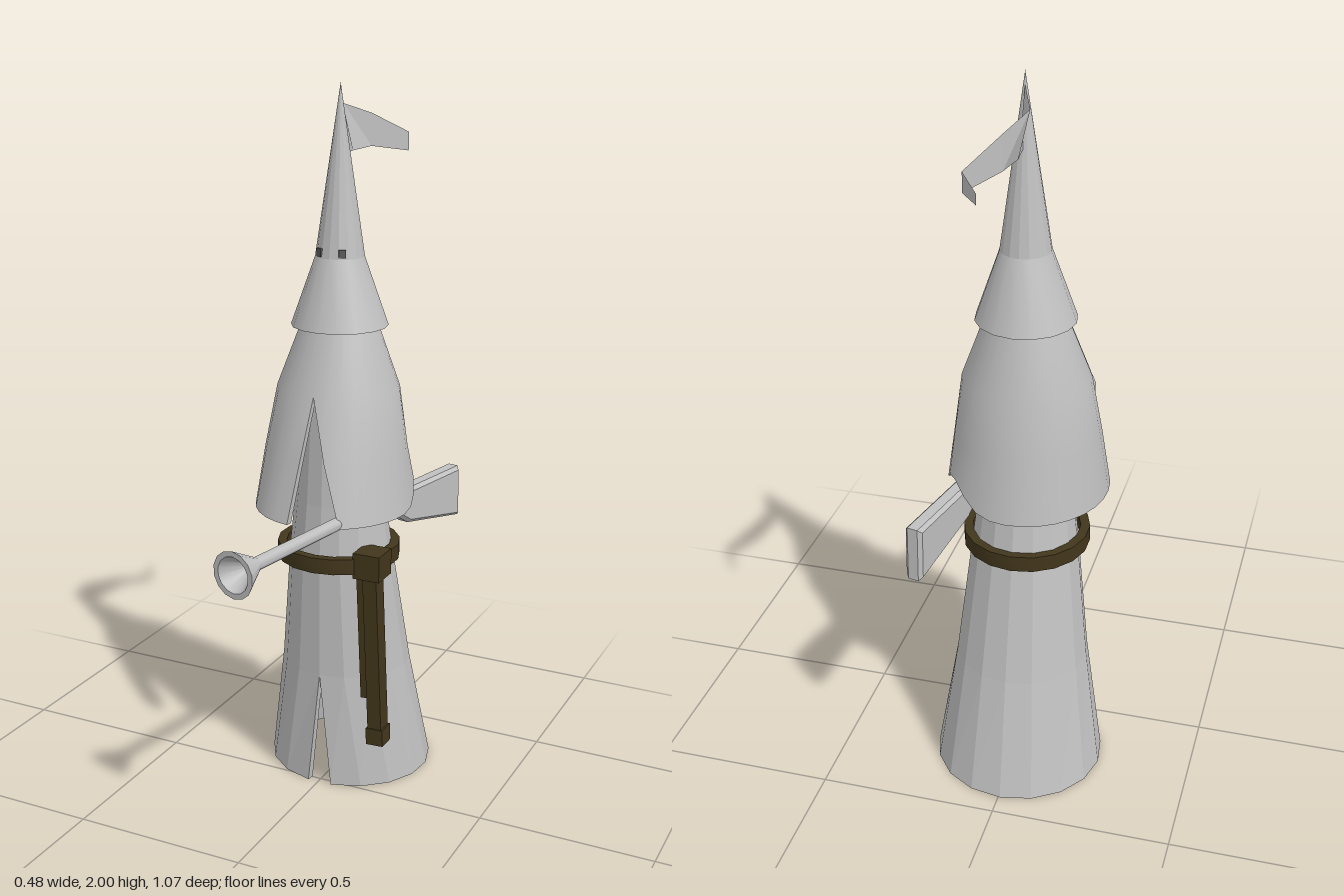
import * as THREE from 'three';
import { toCreasedNormals } from 'three/addons/utils/BufferGeometryUtils.js';

const mat = (name, color, extra = {}) => {
  const m = new THREE.MeshStandardMaterial({ color, ...extra });
  m.name = name;
  return m;
};

// Thick open-fronted garment. Rings from bottom to top:
// [y, centreZ, radiusX, radiusZ, slit angle on +x side, slit angle on -x side]
function garment(rings, n, thick, hem = () => 0) {
  const point = (r, j, inset) => {
    const [y, cz, rx, rz, s0, s1] = rings[r];
    const a = s0 + (Math.PI * 2 - s0 - s1) * j / n;
    const lift = r === 0 ? hem(a) : 0;
    return [(rx - inset) * Math.sin(a), y + lift, cz + (rz - inset) * Math.cos(a)];
  };
  const pos = [];
  const quad = (a, b, c, d) => pos.push(...a, ...b, ...c, ...a, ...c, ...d);
  // each ring is one closed loop: outside forward, inside backward
  const loops = rings.map((_, r) => {
    const loop = [];
    for (let j = 0; j <= n; j++) loop.push(point(r, j, 0));
    for (let j = n; j >= 0; j--) loop.push(point(r, j, thick));
    return loop;
  });
  const m = loops[0].length;
  for (let r = 0; r + 1 < loops.length; r++) {
    for (let j = 0; j < m; j++) {
      const k = (j + 1) % m;
      quad(loops[r][j], loops[r][k], loops[r + 1][k], loops[r + 1][j]);
    }
  }
  // bottom rim
  for (let j = 0; j < n; j++) {
    quad(point(0, j, 0), point(0, j, thick), point(0, j + 1, thick), point(0, j + 1, 0));
  }
  const g = new THREE.BufferGeometry();
  g.setAttribute('position', new THREE.Float32BufferAttribute(pos, 3));
  g.computeVertexNormals();
  return g;
}

const lathe = (pts, sides) =>
  new THREE.LatheGeometry(pts.map(p => new THREE.Vector2(p[0], p[1])), sides);

export function createModel() {
  const root = new THREE.Group();
  const cloth = mat('grey cloth', 0xc0c0c0);
  const flatCloth = cloth;
  const flagCloth = mat('grey pennant', 0xc0c0c0, { side: THREE.DoubleSide });
  const leather = mat('dark leather', 0x42361c);
  const dark = mat('eye holes', 0x5a5a5a);

  const add = (name, geo, material, x = 0, y = 0, z = 0, parent = root) => {
    const mesh = new THREE.Mesh(geo, material);
    mesh.name = name;
    mesh.position.set(x, y, z);
    parent.add(mesh);
    return mesh;
  };
  const AXIS = -0.118;

  // Long robe, slit at the lower front
  add('robe', garment([
    [0, -0.21, 0.24, 0.232, 0.17, 0.13],
    [0.34, -0.173, 0.188, 0.182, 0, 0],
    [0.7, -0.133, 0.148, 0.142, 0, 0],
    [0.85, -0.125, 0.13, 0.122, 0, 0],
    [1.2, AXIS, 0.1, 0.1, 0, 0],
  ], 16, 0.022), flatCloth);

  // Shoulder cape, open at the front, hem lifted over the stock
  const hem = a => 0.075 * Math.exp(-(((a - 2.25) / 0.35) ** 2));
  add('cape', toCreasedNormals(garment([
    [0.84, -0.09, 0.222, 0.236, 0.52, 0.15],
    [1.01, -0.1, 0.2, 0.198, 0.27, 0.08],
    [1.18, -0.112, 0.174, 0.158, 0, 0],
    [1.4, AXIS, 0.09, 0.09, 0, 0],
  ], 28, 0.02, hem), 0.6), cloth);

  // Hood: flared brim and faceted point
  add('hoodBrim', toCreasedNormals(lathe(
    [[0.045, 1.53], [0.112, 1.35], [0.135, 1.35], [0.068, 1.54]], 16), 0.5), cloth, 0, 0, AXIS);
  const tip = new THREE.ConeGeometry(0.068, 0.46, 16, 1, true).toNonIndexed();
  tip.computeVertexNormals();
  add('hoodPoint', tip, cloth, 0, 1.77, AXIS);
  for (const s of [-1, 1]) {
    const eye = add(s > 0 ? 'leftEye' : 'rightEye',
      new THREE.BoxGeometry(0.02, 0.022, 0.008), dark, s * 0.034, 1.555, AXIS + 0.057);
    eye.rotation.y = s * 0.54;
  }

  // Pennant trailing from the tip: top and bottom edge points
  const top = [[0, 1.965, -0.12], [-0.04, 1.937, -0.22], [0, 1.905, -0.32], [0.065, 1.847, -0.43], [0, 1.838, -0.535]];
  const bottom = [[0, 1.81, -0.14], [-0.01, 1.812, -0.22], [0, 1.815, -0.32], [0.065, 1.795, -0.43], [0, 1.81, -0.535]];
  const flag = [];
  for (let i = 0; i < 4; i++) {
    flag.push(...top[i], ...bottom[i], ...bottom[i + 1], ...top[i], ...bottom[i + 1], ...top[i + 1]);
  }
  const flagGeo = new THREE.BufferGeometry();
  flagGeo.setAttribute('position', new THREE.Float32BufferAttribute(flag, 3));
  flagGeo.computeVertexNormals();
  add('pennant', flagGeo, flagCloth);

  // Belt ring standing slightly off the robe
  add('belt', toCreasedNormals(lathe(
    [[0.15, 0.675], [0.176, 0.675], [0.176, 0.72], [0.15, 0.72], [0.15, 0.675]], 18), 0.5),
    leather, 0, 0, AXIS);

  // Scabbard hanging at the left hip
  add('beltLoop', new THREE.BoxGeometry(0.08, 0.075, 0.085), leather, 0.147, 0.7, -0.025);
  const scabbard = new THREE.Group();
  scabbard.name = 'scabbard';
  scabbard.position.set(0.147, 0.7, -0.027);
  scabbard.rotation.z = 0.045;
  root.add(scabbard);
  add('sheath', new THREE.BoxGeometry(0.042, 0.52, 0.05), leather, 0, -0.26, 0, scabbard);
  add('sheathEnd', new THREE.BoxGeometry(0.052, 0.05, 0.056), leather, 0, -0.525, 0, scabbard);
  add('smallSheath', new THREE.BoxGeometry(0.026, 0.4, 0.03), leather, -0.03, -0.21, 0.002, scabbard);

  // Flared gun carried under the cape, muzzle forward
  const gun = new THREE.Group();
  gun.name = 'gun';
  gun.position.set(0.097, 0.85, 0.11);
  gun.rotation.set(0.03, -0.205, 0, 'YXZ');
  root.add(gun);
  const barrel = lathe([[0.018, -0.32], [0.018, 0.33], [0.065, 0.42],
    [0.05, 0.42], [0.014, 0.36], [0, 0.36]], 14).rotateX(Math.PI / 2);
  add('barrel', toCreasedNormals(barrel, 0.5), cloth, 0, 0, 0, gun);
  const shape = new THREE.Shape([[-0.58, 0.008], [-0.58, -0.147], [-0.32, -0.09],
    [-0.275, -0.06], [-0.27, -0.01], [-0.305, 0.014]].map(p => new THREE.Vector2(p[0], p[1])));
  const stock = new THREE.ExtrudeGeometry(shape, {
    depth: 0.03, bevelEnabled: true, bevelSize: 0.01, bevelThickness: 0.01,
    bevelOffset: -0.01, bevelSegments: 1,
  }).translate(0, 0, -0.015).rotateY(-Math.PI / 2);
  add('stock', stock, cloth, 0, 0, 0, gun);

  return root;
}
